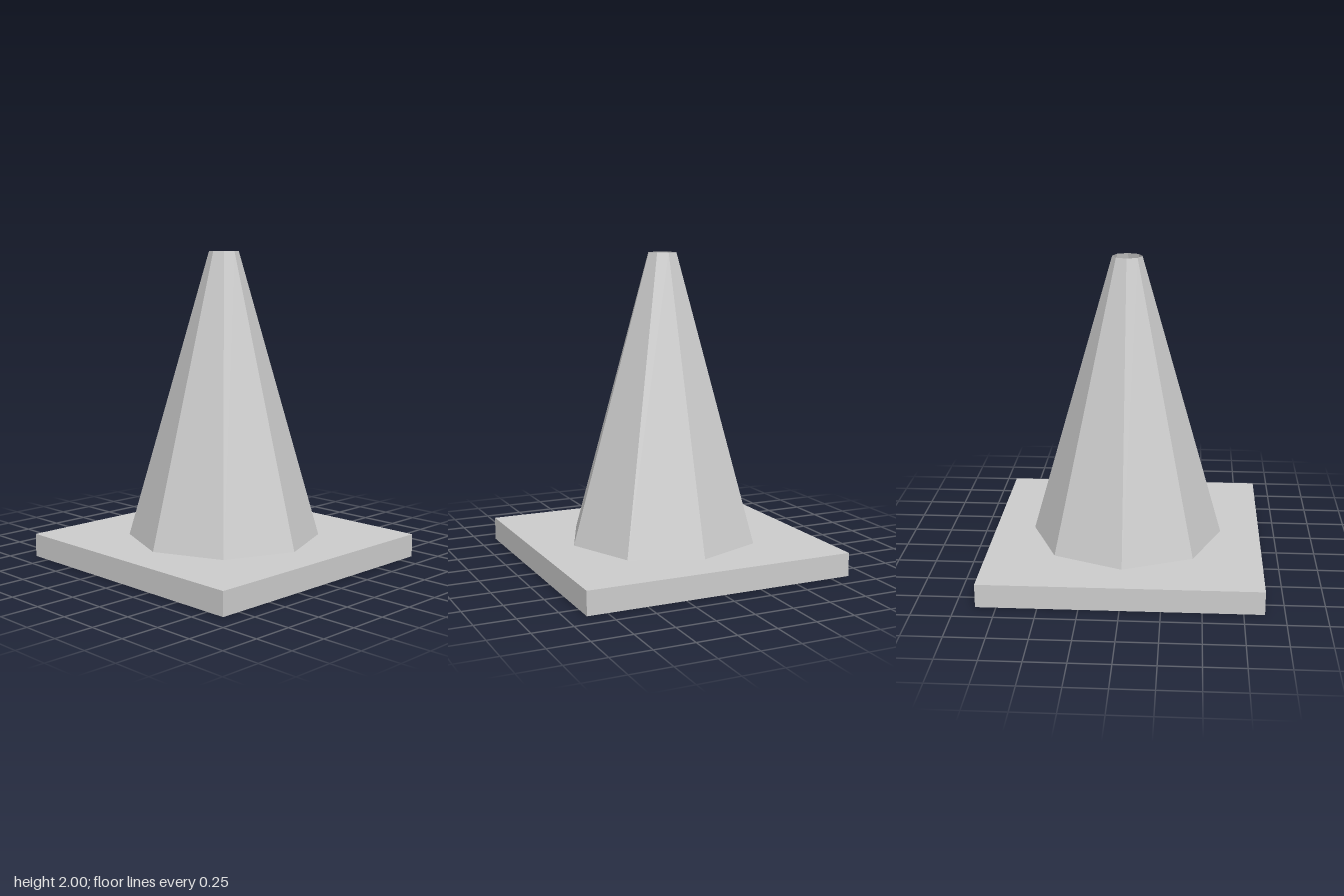
import * as THREE from 'three';

export function createModel() {
  const model = new THREE.Group();
  model.name = 'trafficCone';

  const lightGrey = new THREE.MeshStandardMaterial({ color: 0xcccccc, flatShading: true, side: THREE.DoubleSide });
  lightGrey.name = 'lightGrey';

  const baseHeight = 0.15;
  const baseWidth = 1.755;
  const coneHeight = 2 - baseHeight;

  // Square base slab
  const base = new THREE.Mesh(new THREE.BoxGeometry(baseWidth, baseHeight, baseWidth), lightGrey);
  base.name = 'base';
  base.position.y = baseHeight / 2;
  model.add(base);

  // Hollow eight-sided cone, open at the tip, with corners on the axes
  const cone = new THREE.Mesh(
    new THREE.CylinderGeometry(0.095, 0.622, coneHeight, 8, 1, true),
    lightGrey
  );
  cone.name = 'cone';
  cone.position.y = baseHeight + coneHeight / 2;
  model.add(cone);

  return model;
}
